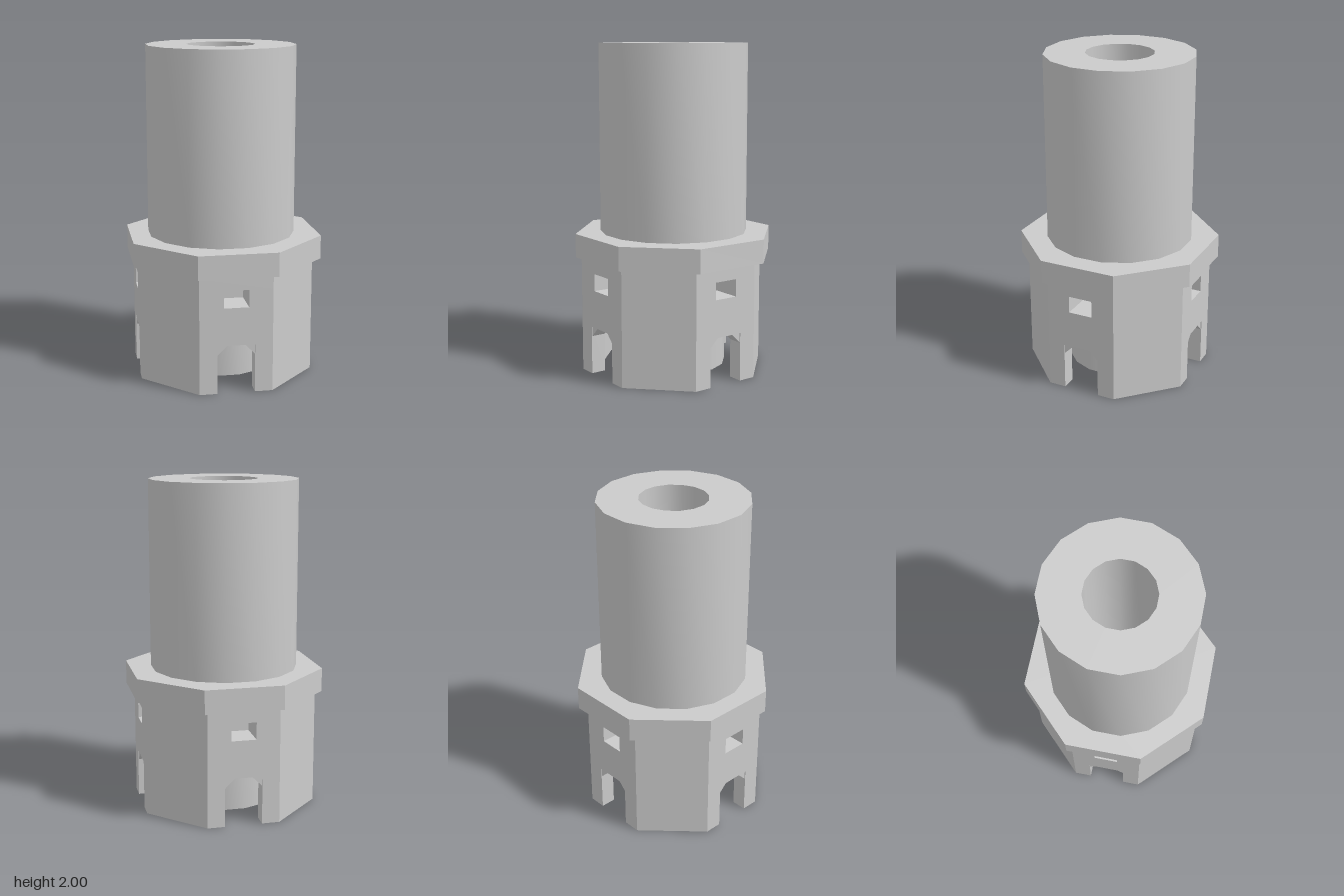
import * as THREE from 'three';
import { toCreasedNormals } from 'three/addons/utils/BufferGeometryUtils.js';

const material = new THREE.MeshStandardMaterial({ color: 0xcccccc });
const K = Math.tan(Math.PI / 8); // half edge / apothem of an octagon

const A = 0.5275; // outer apothem of the socket
const INNER = 0.435; // inner apothem of its wall
const SLOT = 0.1125; // half width of the slots
const SLOT_TOP = 0.295;

function shapeOf(points) {
  return new THREE.Shape(points.map(([x, y]) => new THREE.Vector2(x, y)));
}

// Repeats one side's points around the four axis directions
function fourfold(points) {
  const out = [];
  for (let i = 0; i < 4; i++) {
    const c = Math.round(Math.cos(i * Math.PI / 2)), s = Math.round(Math.sin(i * Math.PI / 2));
    for (const [x, y] of points) out.push([c * x - s * y, s * x + c * y]);
  }
  return out;
}

function octagon(a) {
  return fourfold([[a, -a * K], [a, a * K]]);
}

function bore(shape, r) {
  const hole = new THREE.Path();
  for (let i = 0; i < 16; i++) {
    const t = -(i + 0.5) * Math.PI / 8;
    if (i === 0) hole.moveTo(r * Math.cos(t), r * Math.sin(t));
    else hole.lineTo(r * Math.cos(t), r * Math.sin(t));
  }
  hole.closePath();
  shape.holes.push(hole);
  return shape;
}

function mesh(name, geometry) {
  const m = new THREE.Mesh(geometry, material);
  m.name = name;
  return m;
}

// Flat outline raised from y0 to y1
function slab(name, shape, y0, y1) {
  const g = new THREE.ExtrudeGeometry(shape, { depth: y1 - y0, bevelEnabled: false });
  g.rotateX(-Math.PI / 2);
  g.translate(0, y0, 0);
  return mesh(name, g);
}

export function createModel() {
  const model = new THREE.Group();
  model.name = 'adapter';

  // Round tube: wide above the collar, narrow spigot inside the socket
  const profile = [
    [0.32, 0.02], [0.32, 0.8], [0.4515, 0.8], [0.4515, 2],
    [0.205, 2], [0.233, 0.02], [0.32, 0.02],
  ].map(([x, y]) => new THREE.Vector2(x, y));
  const tube = mesh('tube', toCreasedNormals(new THREE.LatheGeometry(profile, 16, Math.PI / 16), 0.6));
  tube.position.x = -0.0075;
  model.add(tube);

  // Octagonal collar
  model.add(slab('collar', bore(shapeOf(octagon(0.57)), 0.28), 0.71, 0.855));

  // Octagonal socket with a window pocket in each axis face
  const socket = new THREE.Group();
  socket.name = 'socket';
  socket.position.set(-0.0075, 0, 0.0075);
  const w = 0.075, deep = 0.34;
  const notched = fourfold([[A, -A * K], [A, -w], [deep, -w], [deep, w], [A, w], [A, A * K]]);
  socket.add(
    slab('lowerBand', bore(shapeOf(octagon(A)), 0.28), SLOT_TOP, 0.525),
    slab('windowBand', bore(shapeOf(notched), 0.28), 0.525, 0.63),
    slab('upperBand', bore(shapeOf(octagon(A)), 0.28), 0.63, 0.71),
  );

  // Four legs between the slots
  const leg = shapeOf([
    [A, SLOT], [A, A * K], [A * K, A], [SLOT, A],
    [SLOT, INNER], [INNER * K, INNER], [INNER, INNER * K], [INNER, SLOT],
  ]);
  // Corner gusset at the top of a slot
  const gusset = shapeOf([[SLOT, SLOT_TOP - 0.06], [SLOT, SLOT_TOP], [SLOT - 0.06, SLOT_TOP]]);
  const mirrored = shapeOf([[-SLOT, SLOT_TOP - 0.06], [-SLOT + 0.06, SLOT_TOP], [-SLOT, SLOT_TOP]]);
  for (let i = 0; i < 4; i++) {
    const side = new THREE.Group();
    side.name = 'side' + (i + 1);
    side.rotation.y = i * Math.PI / 2;
    side.add(slab('leg', leg, 0, SLOT_TOP));
    for (const s of [gusset, mirrored]) {
      const g = new THREE.ExtrudeGeometry(s, { depth: A - 0.005 - INNER, bevelEnabled: false });
      g.translate(0, 0, INNER);
      side.add(mesh('slotGusset', g));
    }
    socket.add(side);
  }
  model.add(socket);
  return model;
}
